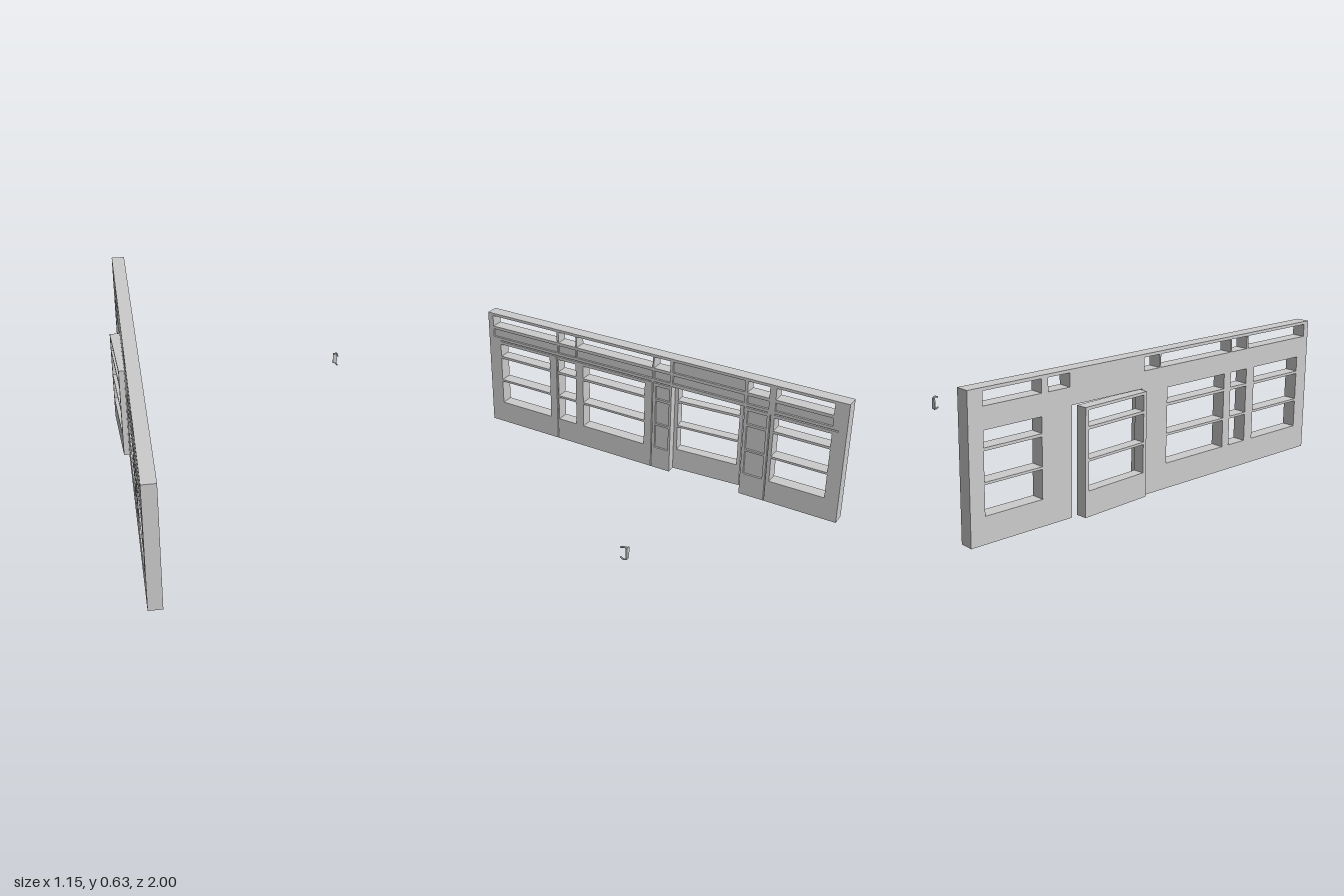
import * as THREE from 'three';

const grey = new THREE.MeshStandardMaterial({ color: 0xcccccc, flatShading: true });
const BACK = -0.527, MID = -0.473, FRONT = -0.463;
const LIGHTS = [[0.118, 0.246], [0.257, 0.383], [0.396, 0.466]]; // pane heights

// Upright slab in the zy plane, from x0 to x1; holes are [zStart, zEnd, yLow, yHigh]
function slab(name, outline, holes, x0, x1) {
  const shape = new THREE.Shape(outline.map(([z, y]) => new THREE.Vector2(-z, y)));
  for (const [za, zb, ya, yb] of holes) {
    shape.holes.push(new THREE.Path([[za, ya], [za, yb], [zb, yb], [zb, ya]]
      .map(([z, y]) => new THREE.Vector2(-z, y))));
  }
  const geo = new THREE.ExtrudeGeometry(shape, { depth: x1 - x0, bevelEnabled: false });
  geo.rotateY(Math.PI / 2).translate(x0, 0, 0);
  const mesh = new THREE.Mesh(geo, grey);
  mesh.name = name;
  return mesh;
}

const panes = (za, zb) => LIGHTS.map(([ya, yb]) => [za, zb, ya, yb]);

function box(name, w, h, d, x, y, z) {
  const mesh = new THREE.Mesh(new THREE.BoxGeometry(w, h, d), grey);
  mesh.position.set(x, y, z);
  mesh.name = name;
  return mesh;
}

function createWall() {
  const wall = new THREE.Group();
  wall.name = 'shopfrontWall';
  // Outline with the doorway notch
  const outline = [[1, 0], [-0.1, 0], [-0.1, 0.485], [-0.492, 0.485], [-0.492, 0],
    [-1, 0], [-1, 0.635], [1, 0.635]];
  const windows = [[0.928, 0.617], [0.564, 0.457], [0.413, 0.05], [-0.646, -0.93]];
  const bays = [[0.97, 0.57], [0.56, 0.457], [0.45, 0.008], [0, -0.09],
    [-0.502, -0.613], [-0.646, -0.93]];
  const through = [
    ...windows.flatMap(([a, b]) => panes(a, b)),
    ...bays.map(([a, b]) => [a, b, 0.562, 0.621]),
  ];
  // Shallow relief on the street side
  const relief = [
    ...bays.map(([a, b]) => [a, b, 0.503, 0.546]),
    [-0.105, -0.487, 0.503, 0.546], [-0.105, -0.487, 0.562, 0.621],
    ...panes(-0.012, -0.088), ...panes(-0.508, -0.608),
    ...[[0.928, 0.012], [0, -0.09], [-0.502, -0.61], [-0.646, -0.96]].map(([a, b]) => [a, b, 0.482, 0.488]),
    ...[0.576, 0.009, -0.622].map((z) => [z, z - 0.005, 0.003, 0.478]),
  ];
  wall.add(slab('wallCore', outline, through, BACK, MID));
  wall.add(slab('frontTrim', outline, [...through, ...relief], MID, FRONT));
  return wall;
}

function createDoor() {
  // Built from its hinge edge at z = 0, then swung slightly outward
  const door = new THREE.Group();
  door.name = 'door';
  const w = 0.362;
  door.add(slab('doorLeaf', [[0, 0.004], [-w, 0.004], [-w, 0.479], [0, 0.479]],
    panes(-0.018, -w + 0.018), 0, 0.052));
  door.position.set(-0.553, 0, -0.098);
  door.rotation.y = 0.061;
  return door;
}

function createHandle() {
  const handle = new THREE.Group();
  handle.name = 'doorHandle';
  handle.add(box('handlePlate', 0.02, 0.056, 0.006, 0.563, 0.25, -0.451));
  // Curled arm at each end
  for (const s of [-1, 1]) {
    const curve = new THREE.CatmullRomCurve3([
      [0.557, 0.023, -0.451], [0.566, 0.029, -0.448], [0.57, 0.031, -0.437], [0.57, 0.026, -0.424],
    ].map(([x, y, z]) => new THREE.Vector3(x, 0.25 + s * y, z)));
    const arm = new THREE.Mesh(new THREE.TubeGeometry(curve, 12, 0.004, 8), grey);
    arm.name = 'handleArm';
    handle.add(arm);
    const knob = new THREE.Mesh(new THREE.SphereGeometry(0.004, 8, 6), grey);
    knob.name = 'handleTip';
    knob.position.copy(curve.getPoint(1));
    handle.add(knob);
  }
  return handle;
}

export function createModel() {
  const model = new THREE.Group();
  model.name = 'shopfront';
  model.add(createWall(), createDoor(), createHandle());
  return model;
}
